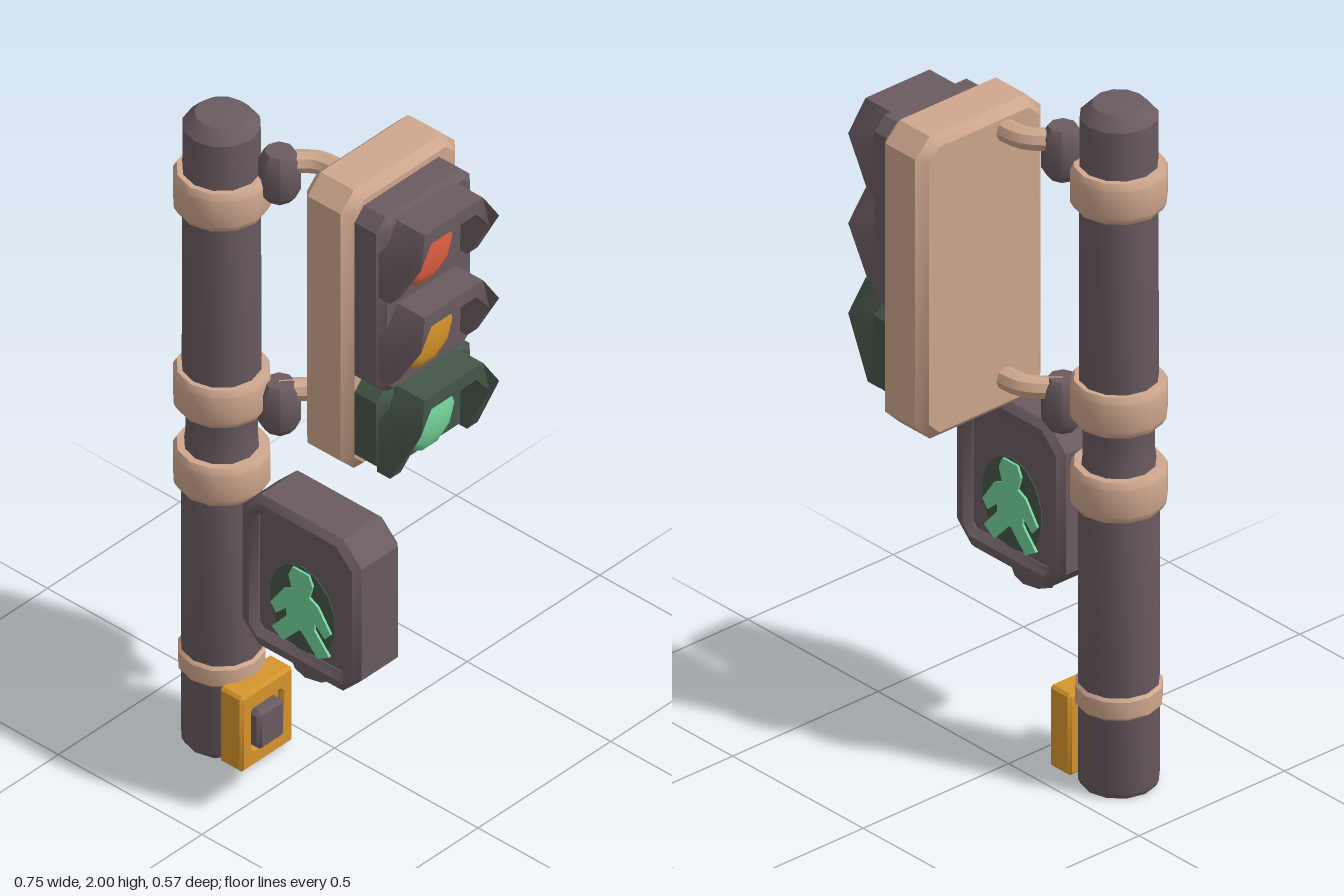
import * as THREE from 'three';
import { toCreasedNormals } from 'three/addons/utils/BufferGeometryUtils.js';

const paint = (name, color) => {
  const m = new THREE.MeshStandardMaterial({ color });
  m.name = name;
  return m;
};

// Rectangle outline with cut corners, centred on the origin
function cutRect(w, h, c, Type = THREE.Shape) {
  const x = w / 2, y = h / 2;
  return new Type([[-x + c, -y], [x - c, -y], [x, -y + c], [x, y - c], [x - c, y], [-x + c, y], [-x, y - c], [-x, -y + c]]
    .map(p => new THREE.Vector2(...p)));
}

// Bevelled plate, centred on its depth
function slab(shape, depth, bevel) {
  const g = new THREE.ExtrudeGeometry(shape, {
    depth: depth - 2 * bevel, bevelEnabled: bevel > 0, bevelSize: bevel,
    bevelThickness: bevel, bevelOffset: -bevel, bevelSegments: 1, steps: 1,
  });
  return g.translate(0, 0, -(depth - 2 * bevel) / 2);
}

const lathe = (pts, sides) => new THREE.LatheGeometry(pts.map(p => new THREE.Vector2(...p)), sides);

export function createModel() {
  const root = new THREE.Group();
  root.name = 'trafficLight';
  const dark = paint('dark purple grey', 0x6a5b60);
  const tan = paint('tan', 0xcfa78e);
  const amber = paint('amber', 0xd6952c);
  const red = paint('red', 0xe06042);
  const green = paint('green', 0x74d49b);
  const deepGreen = paint('deep green', 0x45574a);

  const add = (name, geo, mat, x = 0, y = 0, z = 0, parent = root) => {
    const m = new THREE.Mesh(toCreasedNormals(geo, 0.65), mat);
    m.name = name;
    m.position.set(x, y, z);
    parent.add(m);
    return m;
  };

  // Pole with a bevelled top and a narrower neck between the clamps
  const px = -0.25, pz = 0.155;
  add('pole', lathe([[0, 0], [0.1, 0], [0.107, 0.015], [0.107, 0.86], [0.095, 0.97], [0.095, 1.03], [0.105, 1.1],
    [0.103, 1.96], [0.07, 1.995], [0, 2]], 12), dark, px, 0, pz);

  // Collars around the pole
  const collar = (r, h) => lathe([[0.09, -h], [r - 0.01, -h], [r, -h * 0.7], [r, h * 0.7], [r - 0.01, h], [0.09, h]], 12);
  for (const y of [0.88, 1.13, 1.76]) add('poleCollar', collar(0.128, 0.06), tan, px, y, pz);
  add('baseCollar', collar(0.115, 0.035), tan, px, 0.265, pz);

  // Brackets joining the pole to the signal head
  for (const [knobY, armY] of [[1.825, 1.86], [1.085, 1.13]]) {
    add('bracketKnob', lathe([[0, -0.075], [0.035, -0.075], [0.055, -0.05], [0.055, 0.05], [0.038, 0.075], [0, 0.075]], 8),
      dark, -0.118, knobY, 0.08);
    const path = new THREE.CatmullRomCurve3([[-0.12, 0.08], [-0.085, 0.04], [-0.045, 0.01], [0.05, 0]]
      .map(([x, z]) => new THREE.Vector3(x, armY, z)));
    add('bracketArm', new THREE.TubeGeometry(path, 8, 0.031, 8), tan);
  }

  // Signal head, facing +x
  const head = new THREE.Group();
  head.name = 'signalHead';
  root.add(head);
  const faceX = g => g.rotateY(Math.PI / 2);
  add('backShell', faceX(slab(cutRect(0.43, 0.89, 0.05), 0.165, 0.025)), tan, 0.0975, 1.475, -0.07, head);
  const hz = -0.057;
  add('housing', faceX(slab(cutRect(0.352, 0.56, 0.035), 0.15, 0.02)), dark, 0.2, 1.598, hz, head);
  add('lowerHousing', faceX(slab(cutRect(0.352, 0.27, 0.035), 0.15, 0.02)), deepGreen, 0.2, 1.2, hz, head);

  // Hood: an arch drawn in x-y, its front edge swept back towards the bottom
  function hoodGeometry(drop) {
    const side = [[0.165, -drop], [0.165, 0.06], [0.11, 0.145]];
    const inner = [[0.125, -drop], [0.13, 0.045], [0.085, 0.105]];
    const flip = a => a.map(([x, y]) => [-x, y]).reverse();
    const pts = [...side, ...flip(side), ...flip(inner).reverse(), ...inner.slice().reverse()];
    const g = new THREE.ExtrudeGeometry(
      new THREE.Shape(pts.map(p => new THREE.Vector2(...p))), { depth: 0.12, bevelEnabled: false });
    const pos = g.attributes.position;
    for (let i = 0; i < pos.count; i++) {
      if (pos.getZ(i) < 0.1) continue;
      const y = pos.getY(i);
      pos.setZ(i, y > 0.1 ? 0.115 : y > 0 ? 0.12 : 0.045);
    }
    return faceX(g);
  }
  const lamps = [
    ['red', red, dark, 1.72, 0.08, 0.022], ['amber', amber, dark, 1.455, 0.075, 0.022], ['green', green, deepGreen, 1.19, 0.11, 0.04],
  ];
  for (const [name, mat, hoodMat, y, drop, bulge] of lamps) {
    add(name + 'Hood', hoodGeometry(drop), hoodMat, 0.255, y, -0.05, head);
    const lens = new THREE.SphereGeometry(0.1, 10, 8).rotateX(Math.PI / 2);
    add(name + 'Lens', faceX(lens.scale(1, 1, bulge / 0.1)), mat, 0.278, y - 0.005, -0.042, head);
  }

  // Pedestrian signal with a sunk display on both faces
  const walk = new THREE.Group();
  walk.name = 'pedestrianSignal';
  walk.position.set(0.133, 0.715, 0.198);
  root.add(walk);
  const frame = cutRect(0.415, 0.485, 0.065);
  const hole = cutRect(0.3, 0.37, 0.015, THREE.Path);
  frame.holes.push(hole);
  add('displayFrame', slab(frame, 0.172, 0.018), dark, 0, 0, 0, walk);
  add('displayPanel', new THREE.BoxGeometry(0.32, 0.39, 0.13), dark, 0, 0, 0, walk);
  add('frameFoot', new THREE.CylinderGeometry(0.095, 0.065, 0.08, 8).scale(1, 1, 0.65), dark, -0.015, -0.255, 0, walk);

  // Walking figure, one half mirrored
  const half = [[0.028, 0.13], [0.042, 0.1], [0.03, 0.06], [0.06, 0.045], [0.105, -0.02], [0.085, -0.045],
    [0.05, -0.012], [0.048, -0.035], [0.1, -0.095], [0.06, -0.12], [0.004, -0.06]];
  const outline = [...half, ...half.map(([x, y]) => [-x, y]).reverse()];
  const figure = new THREE.Shape(outline.map(p => new THREE.Vector2(...p)));
  for (const s of [1, -1]) {
    const face = new THREE.Group();
    face.name = s > 0 ? 'frontDisplay' : 'backDisplay';
    face.rotation.y = s > 0 ? 0 : Math.PI;
    walk.add(face);
    add('glow', new THREE.CylinderGeometry(1, 1, 0.004, 14).rotateX(Math.PI / 2).scale(0.115, 0.135, 1), deepGreen, 0, -0.055, 0.066, face);
    add('walkingFigure', slab(figure, 0.008, 0), green, 0, -0.06, 0.071, face);
  }

  // Crossing button box on the pole foot
  const boxFace = cutRect(0.195, 0.24, 0.008);
  boxFace.holes.push(cutRect(0.11, 0.13, 0.008, THREE.Path));
  add('buttonBox', faceX(slab(boxFace, 0.08, 0.008)), amber, -0.13, 0.13, pz);
  add('buttonBack', new THREE.BoxGeometry(0.06, 0.14, 0.12), amber, -0.135, 0.125, pz);
  add('button', faceX(slab(cutRect(0.1, 0.12, 0.012), 0.06, 0.01)), dark, -0.103, 0.122, pz);

  return root;
}
